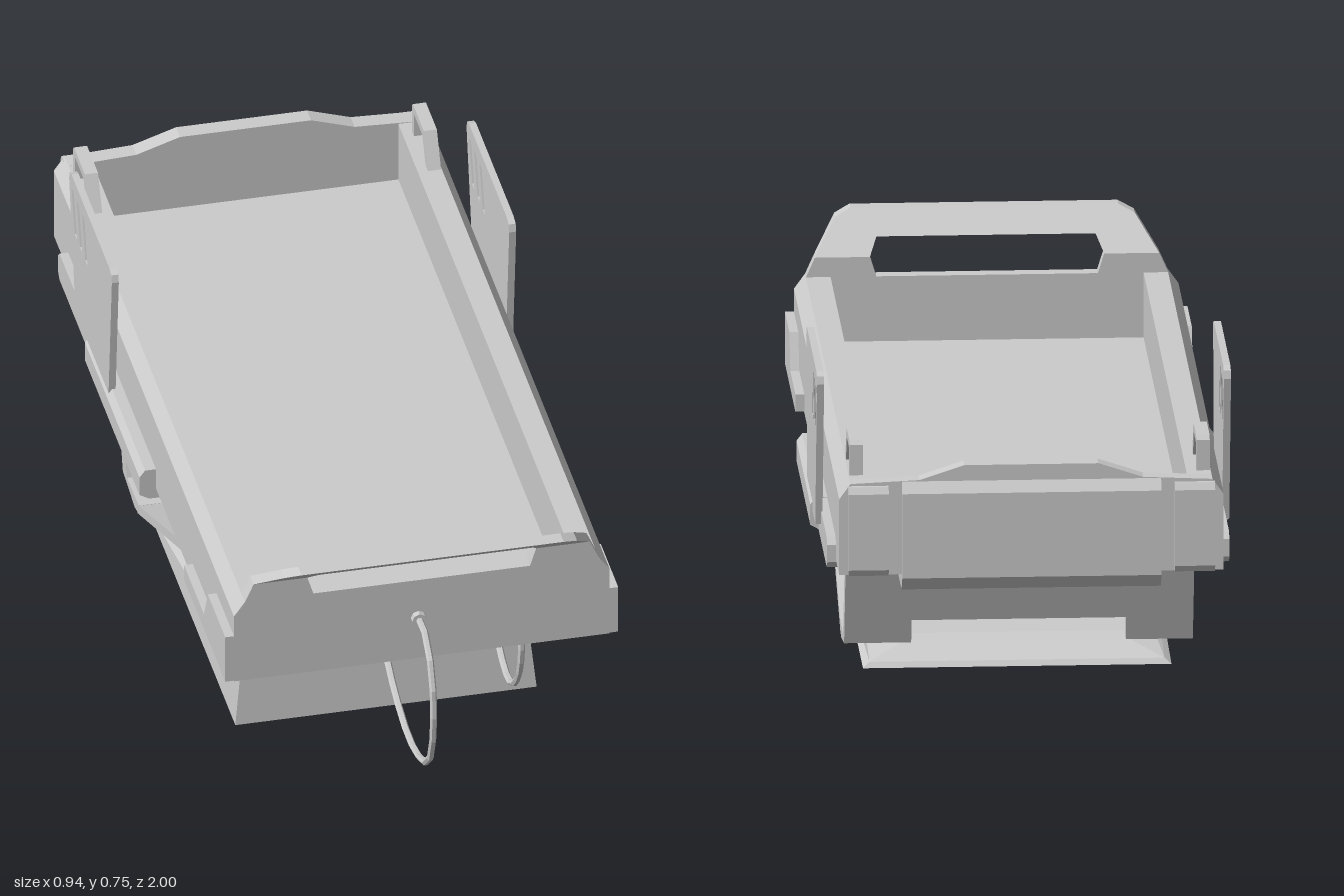
import * as THREE from 'three';

const grey = new THREE.MeshStandardMaterial({ color: 0xcccccc, flatShading: true, side: THREE.DoubleSide });

function shapeOf(pts, holes = []) {
  const toV = (p) => new THREE.Vector2(p[0], p[1]);
  const s = new THREE.Shape(pts.map(toV));
  holes.forEach((h) => s.holes.push(new THREE.Path(h.map(toV))));
  return s;
}
// Outline in x/y, extruded from z0 to z1
function frontExtrude(pts, z0, z1, holes) {
  const g = new THREE.ExtrudeGeometry(shapeOf(pts, holes), { depth: z1 - z0, bevelEnabled: false });
  return g.translate(0, 0, z0);
}
// Outline in z/y, extruded from x0 to x1
function sideExtrude(pts, x0, x1, holes = []) {
  const flip = (list) => list.map(([z, y]) => [-z, y]);
  const g = new THREE.ExtrudeGeometry(shapeOf(flip(pts), holes.map(flip)), { depth: x1 - x0, bevelEnabled: false });
  return g.rotateY(Math.PI / 2).translate(x0, 0, 0);
}
// Right half of an outline, completed by its mirror image
const mirrored = (half) => [...half, ...half.slice().reverse().map(([x, y]) => [-x, y])];

// Faceted solid through rings of four corners, capped at both ends
function loftRings(rings) {
  const pos = rings.flat(2);
  const idx = [0, 1, 2, 0, 2, 3];
  for (let r = 0; r < rings.length - 1; r++) {
    for (let i = 0; i < 4; i++) {
      const a = r * 4 + i, b = r * 4 + (i + 1) % 4;
      idx.push(a, a + 4, b, b, a + 4, b + 4);
    }
  }
  const t = (rings.length - 1) * 4;
  idx.push(t, t + 2, t + 1, t, t + 3, t + 2);
  const g = new THREE.BufferGeometry();
  g.setAttribute('position', new THREE.Float32BufferAttribute(pos, 3));
  g.setIndex(idx);
  const flat = g.toNonIndexed();
  flat.computeVertexNormals();
  return flat;
}

export function createModel() {
  const model = new THREE.Group();
  const add = (name, geometry) => {
    const m = new THREE.Mesh(geometry, grey);
    m.name = name;
    model.add(m);
    return m;
  };
  // Side parts: name, x range on the left side, outline
  const addPair = (name, pts, x0, x1, holes) => {
    add(name + 'Left', sideExtrude(pts, x0, x1, holes));
    add(name + 'Right', sideExtrude(pts, -x1, -x0, holes));
  };

  // Tray: U section with chamfered outer rim
  add('tray', frontExtrude(mirrored([
    [0.43, 0.37], [0.43, 0.545], [0.405, 0.58], [0.35, 0.58], [0.35, 0.43],
  ]), -0.98, 0.81));

  // Headboard with a notch, and the handle leaning forward above it
  add('headboard', frontExtrude(mirrored([
    [0.43, 0.37], [0.43, 0.545], [0.405, 0.58], [0.385, 0.625], [0.262, 0.625], [0.248, 0.58],
  ]), 0.8, 0.835));
  const handle = frontExtrude(mirrored([
    [0.262, 0.625], [0.385, 0.625], [0.335, 0.695], [0.3, 0.71],
  ]).concat([[-0.245, 0.66], [0.245, 0.66]]), 0.8, 0.835);
  const hp = handle.attributes.position;
  for (let i = 0; i < hp.count; i++) hp.setZ(i, hp.getZ(i) + (hp.getY(i) - 0.625) * 1.3);
  handle.computeVertexNormals();
  add('headboardHandle', handle);

  // Footboard with a raised crown and panels on its rear face
  add('footboard', frontExtrude(mirrored([
    [0.43, 0.37], [0.43, 0.545], [0.405, 0.58], [0.25, 0.587], [0.15, 0.62],
  ]), -0.98, -0.94));
  add('footPanel', sideExtrude([
    [-0.77, 0.375], [-0.8, 0.332], [-0.97, 0.332], [-1, 0.365], [-1, 0.56],
    [-0.98, 0.584], [-0.96, 0.584], [-0.96, 0.375],
  ], -0.29, 0.29));
  addPair('footCornerPanel', [
    [-0.97, 0.37], [-0.99, 0.37], [-1, 0.385], [-1, 0.56], [-0.99, 0.575], [-0.97, 0.575],
  ], 0.32, 0.41);

  // Raised panels on the sides near the head
  addPair('sidePanel', [
    [0.835, 0.372], [0.835, 0.492], [0.66, 0.492], [0.62, 0.412], [0.42, 0.412], [0.42, 0.372],
  ], 0.425, 0.45);

  // Lower rails that carry the guards
  for (const s of [1, -1]) {
    const section = [[0.38, 0.372], [0.41, 0.345], [0.445, 0.345], [0.468, 0.358], [0.468, 0.405], [0.455, 0.422], [0.425, 0.422]];
    add('guardRail' + (s > 0 ? 'Left' : 'Right'), frontExtrude(section.map(([x, y]) => [s * x, y]), -0.5, 0.05));
  }
  addPair('rearRail', [
    [-0.49, 0.35], [-0.835, 0.35], [-0.85, 0.365], [-0.85, 0.405], [-0.835, 0.42], [-0.49, 0.42],
  ], 0.42, 0.45);

  // Upright guards with three slanted slots
  const slots = [0, 1, 2].map((i) => {
    const z = -0.495 - i * 0.053;
    return [[z, 0.615], [z - 0.022, 0.615], [z - 0.054, 0.715], [z - 0.044, 0.722], [z - 0.03, 0.715]];
  });
  addPair('sideGuard', [
    [-0.285, 0.39], [-0.25, 0.73], [-0.255, 0.748], [-0.275, 0.755], [-0.655, 0.755],
    [-0.675, 0.748], [-0.68, 0.73], [-0.612, 0.39],
  ], 0.447, 0.463, slots);

  // Small grab loops on the rim near the foot
  addPair('grabLoop', [
    [-0.74, 0.575], [-0.785, 0.66], [-0.895, 0.66], [-0.905, 0.65], [-0.905, 0.575],
    [-0.885, 0.575], [-0.885, 0.64], [-0.8, 0.64], [-0.765, 0.575],
  ], 0.373, 0.403);

  // Base: wedge with a sloped shoulder
  const ring = (x, front, back) => [
    [-x, front[1], front[0]], [-x, back[1], back[0]], [x, back[1], back[0]], [x, front[1], front[0]],
  ];
  add('base', loftRings([
    ring(0.345, [0.475, 0], [-0.41, 0]),
    ring(0.33, [0.465, 0.146], [-0.4, 0.012]),
    ring(0.24, [0.34, 0.172], [-0.31, 0.042]),
  ]));

  // Inner wedge, its rib and the front cover plate
  add('liftWedge', sideExtrude([[0.34, 0.335], [0.34, 0.165], [-0.31, 0.038], [-0.31, 0.05]], -0.24, 0.24));
  add('liftRib', sideExtrude([[0.37, 0.358], [0.345, 0.335], [-0.31, 0.045], [-0.31, 0.07]], -0.27, 0.27));
  add('coverPlate', new THREE.BoxGeometry(0.145, 0.1, 0.012).translate(-0.012, 0.255, 0.343));

  // Bent lift plate: slope, then a slotted rear upright
  add('liftSlope', sideExtrude([
    [0.385, 0.372], [0.35, 0.372], [-0.31, 0.08], [-0.31, 0.058], [0.37, 0.355],
  ], -0.39, 0.39));
  addPair('liftArm', [
    [-0.3, 0.063], [-0.34, 0.054], [-0.46, 0.072], [-0.522, 0.265], [-0.44, 0.372],
    [-0.37, 0.372], [-0.475, 0.25], [-0.418, 0.082], [-0.3, 0.085],
  ], 0.24, 0.39);
  const crossBars = [
    [[-0.3, 0.063], [-0.34, 0.054], [-0.44, 0.069], [-0.418, 0.082], [-0.3, 0.085]],
    [[-0.478, 0.128], [-0.505, 0.212], [-0.462, 0.212], [-0.433, 0.128]],
    [[-0.522, 0.265], [-0.44, 0.372], [-0.37, 0.372], [-0.475, 0.25]],
  ];
  crossBars.forEach((pts) => add('liftCrossBar', sideExtrude(pts, -0.24, 0.24)));

  // Hanging cables and the socket on the headboard
  const cable = (name, x, pts) => {
    const path = new THREE.CatmullRomCurve3(pts.map(([z, y]) => new THREE.Vector3(x, y, z)));
    add(name, new THREE.TubeGeometry(path, 16, 0.008, 6));
  };
  cable('frontCable', -0.008, [
    [0.835, 0.48], [0.92, 0.478], [0.975, 0.41], [0.99, 0.3], [0.94, 0.16],
    [0.75, 0.093], [0.52, 0.16], [0.43, 0.25], [0.345, 0.26],
  ]);
  cable('sideCable', 0.25, [
    [0.735, 0.375], [0.742, 0.3], [0.71, 0.2], [0.62, 0.126], [0.505, 0.16], [0.445, 0.27], [0.43, 0.375],
  ]);
  add('cableSocket', new THREE.CylinderGeometry(0.017, 0.017, 0.02, 8).rotateX(Math.PI / 2).translate(-0.008, 0.48, 0.84));

  return model;
}
